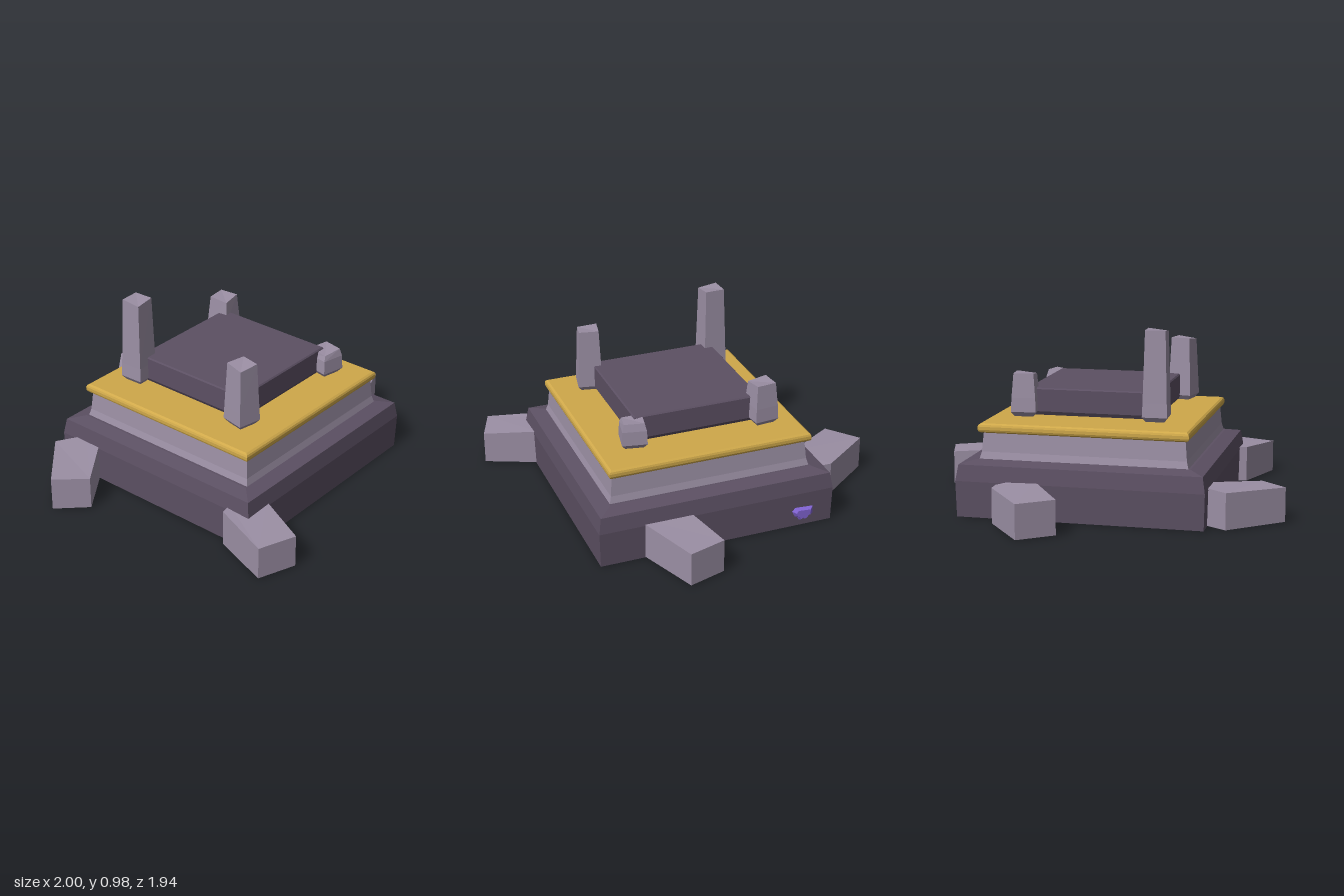
import * as THREE from 'three';

const flat = (name, color) => {
  const m = new THREE.MeshStandardMaterial({ color });
  m.name = name;
  return m;
};

// Closed faceted solid through rings of [x, y, z], lowest first, each anticlockwise from above
function loft(rings) {
  const pos = [];
  const tri = (...pts) => pts.forEach((p) => pos.push(...p));
  const n = rings[0].length;
  for (let r = 0; r < rings.length - 1; r++) {
    const lo = rings[r], hi = rings[r + 1];
    for (let i = 0; i < n; i++) {
      const j = (i + 1) % n;
      tri(lo[i], lo[j], hi[j]);
      tri(lo[i], hi[j], hi[i]);
    }
  }
  const bottom = rings[0], top = rings[rings.length - 1];
  for (let i = 1; i < n - 1; i++) {
    tri(bottom[0], bottom[i + 1], bottom[i]);
    tri(top[0], top[i], top[i + 1]);
  }
  const g = new THREE.BufferGeometry();
  g.setAttribute('position', new THREE.Float32BufferAttribute(pos, 3));
  g.computeVertexNormals();
  return g;
}

// Rectangular ring at height y
const rect = (x0, x1, z0, z1, y) => [[x0, y, z1], [x1, y, z1], [x1, y, z0], [x0, y, z0]];

// Square slab whose outline is pulled in by an inset at each [y, inset]
const slab = (x0, x1, z0, z1, profile) =>
  loft(profile.map(([y, d]) => rect(x0 + d, x1 - d, z0 + d, z1 - d, y)));

export function createModel() {
  const group = new THREE.Group();
  const darkStone = flat('dark stone', 0x5c5063);
  const paleStone = flat('pale stone', 0x9b8fa4);
  const gold = flat('gold', 0xcfa84a);
  const violet = flat('violet', 0x8365d6);

  const add = (name, geometry, material) => {
    const mesh = new THREE.Mesh(geometry, material);
    mesh.name = name;
    group.add(mesh);
    return mesh;
  };

  // Stepped platform
  add('base', slab(-0.63, 0.68, -0.585, 0.705,
    [[0, 0.005], [0.19, 0], [0.275, 0.014], [0.293, 0.09]]), darkStone);
  add('middleTier', slab(-0.53, 0.58, -0.49, 0.615,
    [[0.285, 0], [0.33, 0.012], [0.44, 0.022]]), paleStone);
  add('goldTrim', slab(-0.53, 0.583, -0.498, 0.612,
    [[0.431, 0.014], [0.438, 0.004], [0.448, 0], [0.464, 0], [0.474, 0.004], [0.481, 0.014]]), gold);
  add('topTier', slab(-0.32, 0.375, -0.29, 0.405,
    [[0.5, 0.012], [0.52, 0], [0.638, 0], [0.645, 0.006]]), darkStone);

  // Broken corner pillars: [name, x, z, top height, turn]
  [
    ['backLeftPillar', -0.323, -0.3, 0.975, 0.04],
    ['frontLeftPillar', -0.33, 0.415, 0.845, -0.2],
    ['backRightPillar', 0.382, -0.298, 0.728, 0.1],
    ['frontRightPillar', 0.382, 0.415, 0.64, -0.2],
  ].forEach(([name, x, z, top, turn]) => {
    const h = top - 0.5;
    const ring = (half, y) => rect(-half, half, -half, half, y);
    const rings = [ring(0.048, 0), ring(0.066, 0.025), ring(0.063, 0.1), ring(0.053, h)];
    rings[3][0][1] -= 0.012; // chipped corner
    const pillar = add(name, loft(rings), paleStone);
    pillar.position.set(x, 0.5, z);
    pillar.rotation.y = turn;
  });

  // Fallen blocks leaning on the base: footprint corners [x, z, top height]
  const fallen = {
    rightBlock: [[0.6, 0.49, 0.2], [0.72, 0.445, 0.195], [1, 0.34, 0.185], [0.94, 0.14, 0.185], [0.6, 0.22, 0.2]],
    backBlock: [[0.26, -0.55, 0.2], [0.38, -0.57, 0.2], [0.45, -0.62, 0.19], [0.45, -0.69, 0.19],
      [0.24, -0.975, 0.185], [0.07, -0.84, 0.185]],
    leftBlock: [[-0.86, -0.165, 0.18], [-0.58, -0.36, 0.2], [-0.59, -0.46, 0.2], [-0.73, -0.55, 0.195], [-1, -0.31, 0.185]],
    frontBlock: [[-0.78, 0.89, 0.18], [-0.58, 0.965, 0.18], [-0.46, 0.69, 0.2], [-0.6, 0.56, 0.2], [-0.67, 0.575, 0.2]],
  };
  for (const [name, corners] of Object.entries(fallen)) {
    add(name, loft([
      corners.map(([x, z]) => [x, 0.004, z]),
      corners.map(([x, z, y]) => [x, y, z]),
    ]), paleStone);
  }

  // Small jagged crystal set into the right side of the base
  const outline = [[-0.062, 0.02], [-0.045, -0.012], [-0.03, -0.02], [-0.018, -0.04], [0, -0.025], [0.012, -0.042],
    [0.03, -0.036], [0.045, -0.015], [0.062, -0.01], [0.062, 0.035], [-0.045, 0.042]];
  const crystal = add('crystal', loft([
    outline.map(([u, v]) => [u, -v, 0]).reverse(),
    outline.map(([u, v]) => [u * 0.65, -v * 0.65, 0.02]).reverse(),
  ].map((ring) => ring.map(([u, v, out]) => [u, out, v]).reverse())), violet);
  crystal.rotation.set(Math.PI / 2, 0, -Math.PI / 2);
  crystal.position.set(0.675, 0.07, -0.415);

  return group;
}
